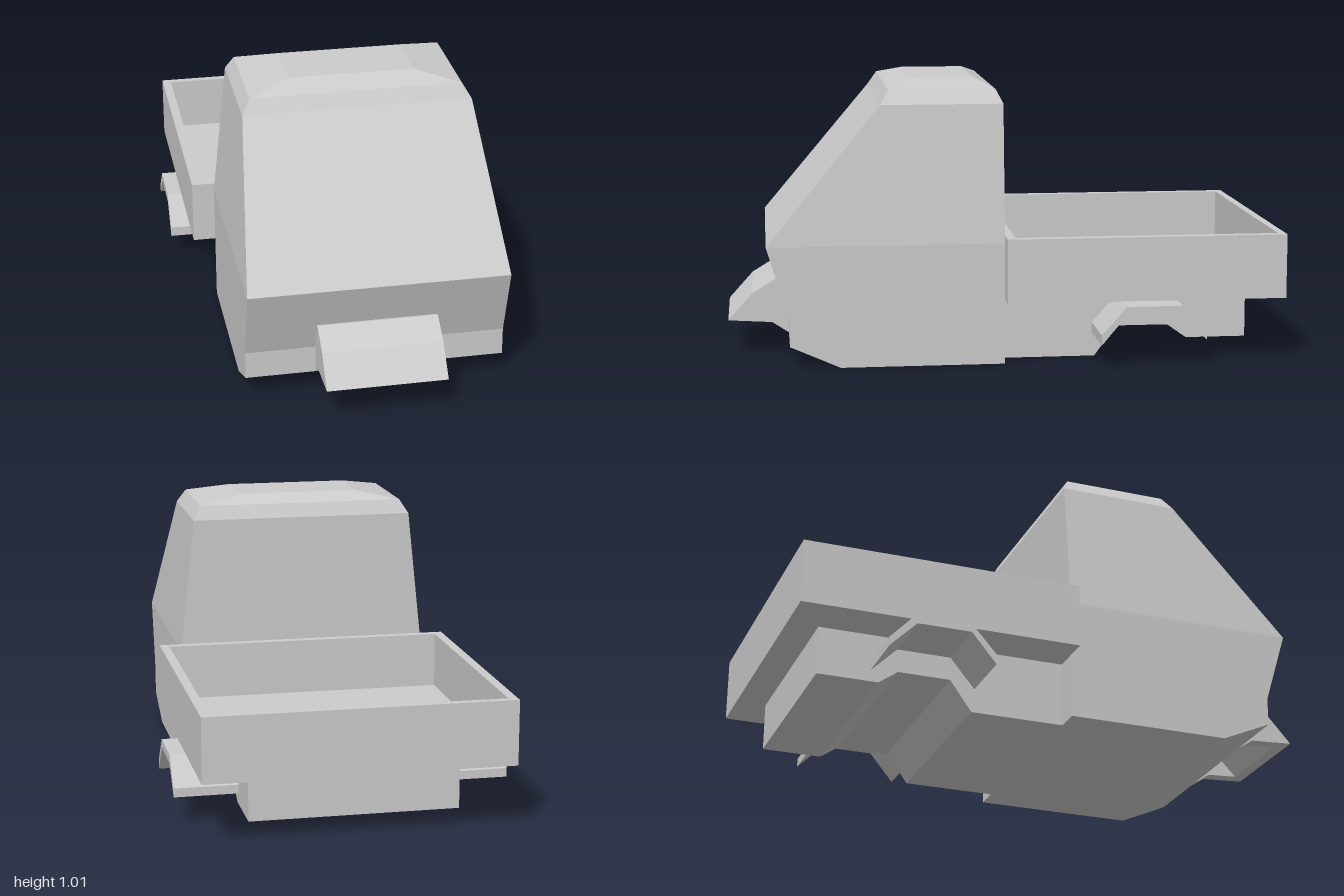
import * as THREE from 'three';

const material = new THREE.MeshStandardMaterial({ color: 0xcccccc, flatShading: true });

function part(name, geometry) {
  const mesh = new THREE.Mesh(geometry, material);
  mesh.name = name;
  return mesh;
}

// Extrudes a side profile of [z, y] points across x, centred on x.
function sideExtrude(profile, width, x = 0) {
  const shape = new THREE.Shape(profile.map(([z, y]) => new THREE.Vector2(z, y)));
  const g = new THREE.ExtrudeGeometry(shape, { depth: width, bevelEnabled: false });
  g.translate(0, 0, -width / 2);
  g.rotateY(-Math.PI / 2);
  g.translate(x, 0, 0);
  return g;
}

// Lofts rectangular cross-sections given as [y, halfWidth, frontZ, backZ].
function loftRectangles(levels) {
  const pos = [];
  const index = [];
  for (const [y, w, f, b] of levels) pos.push(-w, y, f, w, y, f, w, y, b, -w, y, b);
  for (let i = 0; i < levels.length - 1; i++) {
    for (let k = 0; k < 4; k++) {
      const a = i * 4 + k;
      const b = i * 4 + ((k + 1) % 4);
      index.push(a, b, b + 4, a, b + 4, a + 4);
    }
  }
  const t = (levels.length - 1) * 4;
  index.push(0, 2, 1, 0, 3, 2, t, t + 1, t + 2, t, t + 2, t + 3);
  const g = new THREE.BufferGeometry();
  g.setAttribute('position', new THREE.Float32BufferAttribute(pos, 3));
  g.setIndex(index);
  const flat = g.toNonIndexed();
  flat.computeVertexNormals();
  return flat;
}

function rectangle(path, x0, y0, x1, y1) {
  path.moveTo(x0, y0);
  path.lineTo(x1, y0);
  path.lineTo(x1, y1);
  path.lineTo(x0, y1);
  path.closePath();
  return path;
}

export function createModel() {
  const model = new THREE.Group();
  model.name = 'pickupTruckBody';

  // Cab with sloped nose, tapered sides and chamfered roof
  model.add(part('cab', loftRectangles([
    [0, 0.463, 0.6, 0.01],
    [0.08, 0.463, 0.78, 0.01],
    [0.18, 0.463, 0.78, 0.01],
    [0.44, 0.463, 0.86, 0.01],
    [0.935, 0.41, 0.45, 0.01],
    [0.985, 0.38, 0.418, 0.035],
    [1.015, 0.225, 0.33, 0.1],
  ])));

  // Chassis under the bed, with the rear wheel recess
  model.add(part('chassis', sideExtrude([
    [0.02, 0], [-0.33, 0], [-0.41, 0.11], [-0.6, 0.11],
    [-0.67, 0.06], [-0.89, 0.06], [-0.89, 0.24], [0.02, 0.24],
  ], 0.74)));

  // Cargo bed: four walls around a floor
  const bed = new THREE.Group();
  bed.name = 'cargoBed';
  const frame = rectangle(new THREE.Shape(), -0.545, -0.01, 0.545, 1);
  frame.holes.push(rectangle(new THREE.Path(), -0.512, 0.022, 0.512, 0.972));
  const walls = new THREE.ExtrudeGeometry(frame, { depth: 0.232, bevelEnabled: false });
  walls.rotateX(-Math.PI / 2);
  walls.translate(0, 0.235, 0);
  bed.add(part('bedWalls', walls));
  const floor = new THREE.BoxGeometry(1.024, 0.03, 0.95);
  floor.translate(0, 0.25, -0.497);
  bed.add(part('bedFloor', floor));
  model.add(bed);

  // Bent rear fenders
  for (const [name, s] of [['leftFender', 1], ['rightFender', -1]]) {
    model.add(part(name, sideExtrude([
      [-0.32, 0.125], [-0.41, 0.226], [-0.61, 0.226], [-0.7, 0.132],
      [-0.7, 0.1], [-0.605, 0.195], [-0.41, 0.195], [-0.32, 0.088],
    ], 0.25, s * 0.473)));
  }

  // Front hood: a cover and two cheeks around a hollow underside
  const hood = new THREE.Group();
  hood.name = 'frontHood';
  hood.add(part('hoodCover', sideExtrude([
    [0.8, 0.285], [0.82, 0.285], [0.91, 0.23], [1, 0.13],
    [0.955, 0.127], [0.885, 0.2], [0.78, 0.25],
  ], 0.332)));
  for (const [name, s] of [['leftCheek', 1], ['rightCheek', -1]]) {
    hood.add(part(name, sideExtrude([
      [0.77, 0.285], [0.82, 0.285], [0.91, 0.23], [1, 0.13], [0.84, 0.12], [0.78, 0.08], [0.77, 0.08],
    ], 0.048, s * 0.19)));
  }
  model.add(hood);

  return model;
}
